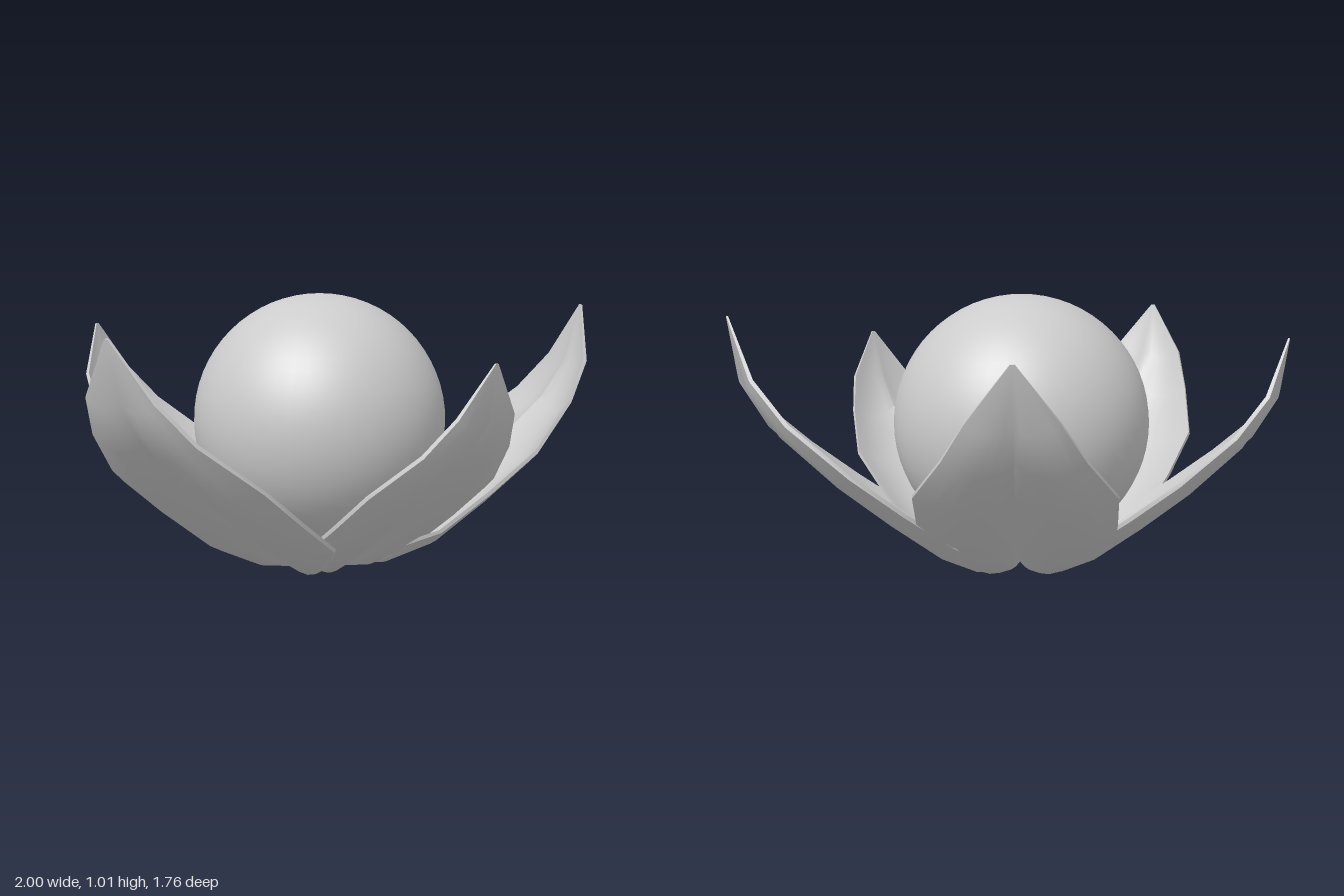
import * as THREE from 'three';
import { toCreasedNormals } from 'three/addons/utils/BufferGeometryUtils.js';

const material = new THREE.MeshStandardMaterial({ color: 0xcccccc });

// Petal stations from base to tip: reach, height, half width, fold depth
const STATIONS = [
  [0.01, 0.025, 0.015, 0.01],
  [0.09, 0.008, 0.09, 0.04],
  [0.17, 0.02, 0.19, 0.06],
  [0.29, 0.085, 0.295, 0.065],
  [0.44, 0.2, 0.3, 0.06],
  [0.59, 0.325, 0.295, 0.055],
  [0.74, 0.475, 0.2, 0.045],
  [0.82, 0.61, 0.13, 0.03],
  [0.865, 0.81, 0.006, 0],
];
const ACROSS = 12;
const THICKNESS = 0.014;

// Closed thin petal reaching along +z, with a raised midrib and two shallow troughs
function petalGeometry(length, height, width) {
  const positions = [];
  const indices = [];
  const ring = 2 * (ACROSS + 1);
  const last = STATIONS.length - 1;

  STATIONS.forEach(([r, y, w, fold], j) => {
    const a = STATIONS[Math.max(j - 1, 0)];
    const b = STATIONS[Math.min(j + 1, last)];
    const slope = Math.atan2(b[1] - a[1], b[0] - a[0]);
    for (let k = 0; k < ring; k++) {
      const under = k > ACROSS;
      const u = ((under ? ring - 1 - k : k) / ACROSS) * 2 - 1;
      const lift = fold * ((Math.abs(u) - 0.47) / 0.53) ** 2;
      const t = under && j < last ? THICKNESS : under ? 0.006 : 0;
      positions.push(
        u * w * width,
        (y + lift) * height - t * Math.cos(slope),
        r * length + t * Math.sin(slope),
      );
    }
  });

  for (let j = 0; j < last; j++) {
    for (let k = 0; k < ring; k++) {
      const n = (k + 1) % ring;
      const a = j * ring + k, b = j * ring + n;
      indices.push(a, a + ring, b, b, a + ring, b + ring);
    }
  }
  // End caps
  for (let k = 0; k < ACROSS; k++) {
    const m = ring - 1 - k;
    const o = last * ring;
    indices.push(k, k + 1, m, k + 1, m - 1, m);
    indices.push(o + k, o + m, o + k + 1, o + k + 1, o + m, o + m - 1);
  }

  const geometry = new THREE.BufferGeometry();
  geometry.setAttribute('position', new THREE.Float32BufferAttribute(positions, 3));
  geometry.setIndex(indices);
  return toCreasedNormals(geometry, 0.7);
}

export function createModel() {
  const group = new THREE.Group();
  group.name = 'flower';

  // Central ball
  const ball = new THREE.Mesh(new THREE.SphereGeometry(0.465, 48, 32), material);
  ball.name = 'centreBall';
  ball.position.set(0.045, 0.545, -0.02);
  group.add(ball);

  // Petals: name, tip x, tip z, tip height
  const petals = [
    ['frontPetal', 0.035, 0.87, 0.81],
    ['leftPetal', 0.985, 0.43, 0.95],
    ['backLeftPetal', 0.725, -0.68, 0.86],
    ['backRightPetal', -0.41, -0.86, 0.87],
    ['rightPetal', -0.995, 0.23, 0.9],
  ];
  const base = { x: 0.03, z: 0 };
  for (const [name, x, z, y] of petals) {
    const dx = x - base.x, dz = z - base.z;
    const length = Math.hypot(dx, dz) / 0.87;
    const petal = new THREE.Mesh(petalGeometry(length, y / 0.81, Math.min(length, 1.16)), material);
    petal.name = name;
    petal.position.set(base.x, 0.008, base.z);
    petal.rotation.y = Math.atan2(dx, dz);
    group.add(petal);
  }
  return group;
}
